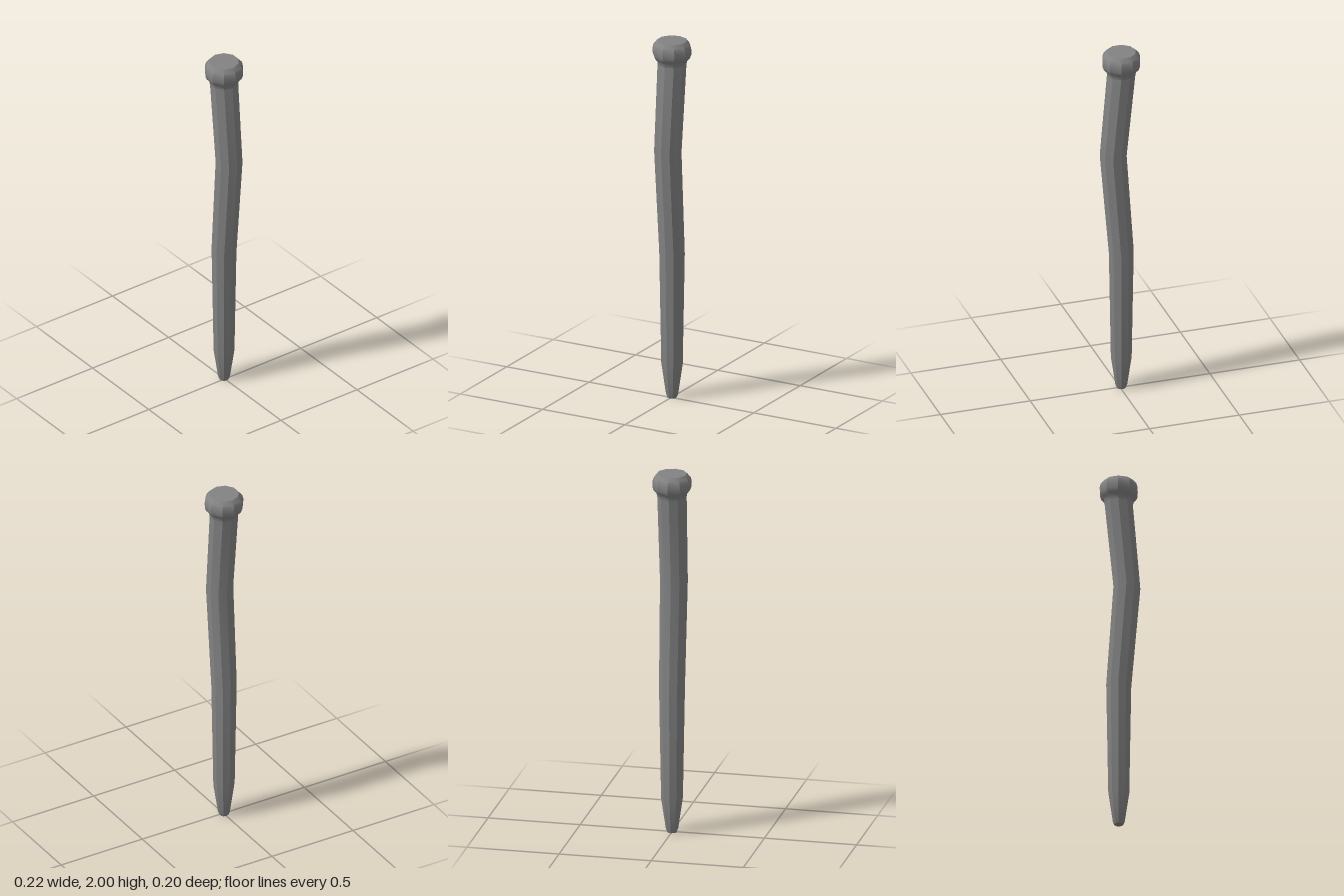
import * as THREE from 'three';
import { toCreasedNormals } from 'three/addons/utils/BufferGeometryUtils.js';

const SIDES = 10;

// Centre line of the bent nail: [height, sideways offset]
const SPINE = [[0, -0.007], [0.19, -0.007], [0.81, -0.007], [1.39, 0.038], [1.87, -0.007], [2, -0.007]];

function spineX(y) {
  for (let i = 1; i < SPINE.length; i++) {
    const [y0, x0] = SPINE[i - 1], [y1, x1] = SPINE[i];
    if (y <= y1) return THREE.MathUtils.mapLinear(y, y0, y1, x0, x1);
  }
  return SPINE[SPINE.length - 1][1];
}

// Ten-sided turned part, bent to follow the spine; profile is [radius, height]
function bentPart(name, profile, material) {
  const points = profile.map(([r, y]) => new THREE.Vector2(r, y));
  const lathe = new THREE.LatheGeometry(points, SIDES, Math.PI / 2);
  const pos = lathe.attributes.position;
  for (let i = 0; i < pos.count; i++) pos.setX(i, pos.getX(i) + spineX(pos.getY(i)));
  const mesh = new THREE.Mesh(toCreasedNormals(lathe, 0.58), material);
  mesh.name = name;
  return mesh;
}

export function createModel() {
  const group = new THREE.Group();
  group.name = 'bentNail';
  const metal = new THREE.MeshStandardMaterial({ color: 0x838383 });

  // Blunt tip and tapering shaft
  group.add(bentPart('shaft', [
    [0, 0], [0.025, 0], [0.033, 0.02], [0.058, 0.19], [0.069, 0.81], [0.074, 1.39], [0.078, 1.87],
  ], metal));

  // Flared neck and rounded head with a flat top
  group.add(bentPart('head', [
    [0.078, 1.87], [0.082, 1.89], [0.097, 1.907], [0.104, 1.925], [0.105, 1.955],
    [0.099, 1.978], [0.08, 2], [0, 2],
  ], metal));

  return group;
}
